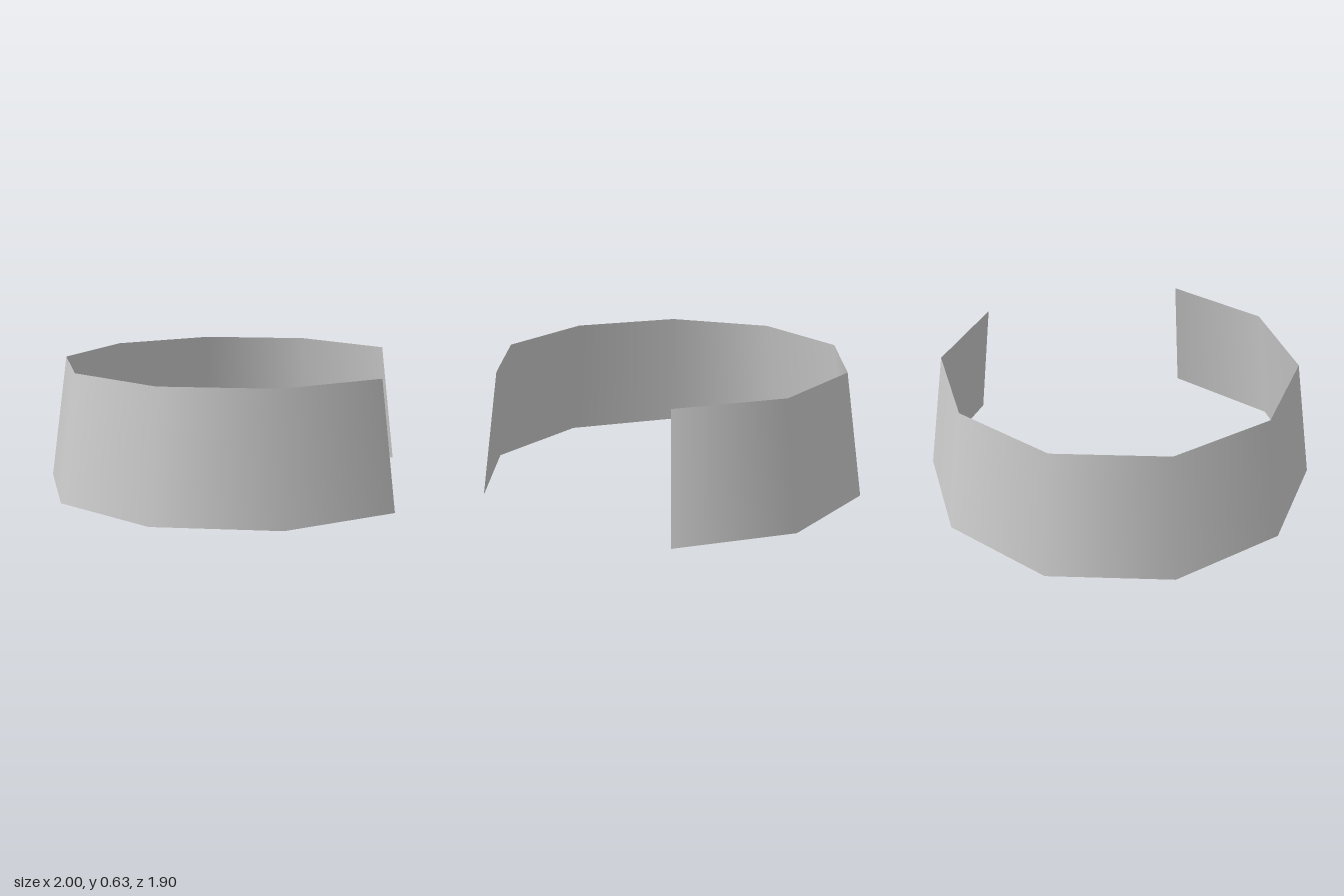
import * as THREE from 'three';

export function createModel() {
  const group = new THREE.Group();
  group.name = 'openCollar';

  const lightGrey = new THREE.MeshStandardMaterial({ color: 0xcccccc, side: THREE.DoubleSide });
  lightGrey.name = 'lightGrey';

  // Tapered ten-sided band with two sides left out at the back left
  const height = 0.635;
  const arc = Math.PI * 1.6;
  const geometry = new THREE.CylinderGeometry(0.91, 1, height, 8, 1, true, Math.PI / 2 - arc, arc);
  geometry.translate(0, height / 2, 0);

  const band = new THREE.Mesh(geometry, lightGrey);
  band.name = 'taperedBand';
  group.add(band);
  return group;
}
